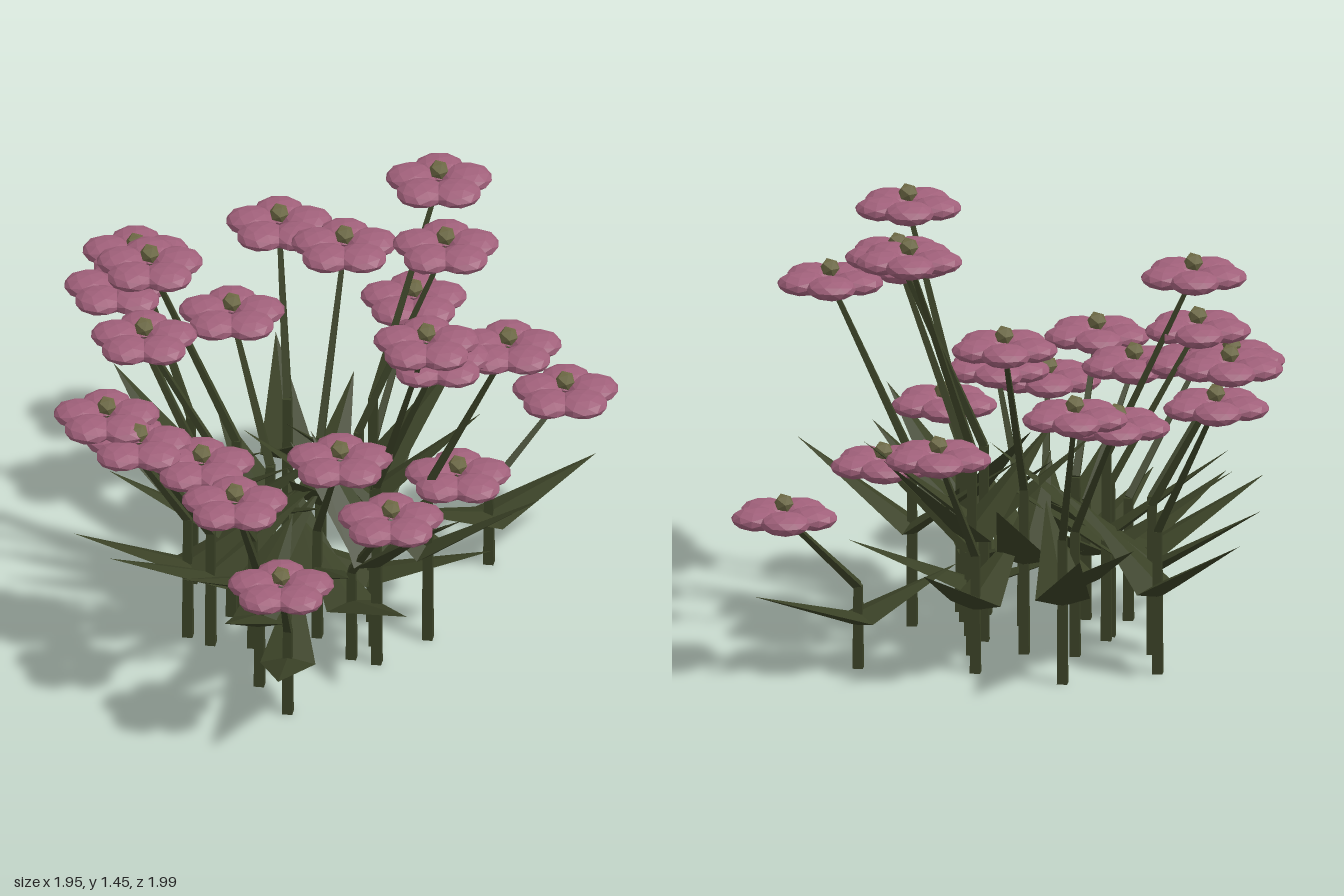
import * as THREE from 'three';

// Blossom positions: x, height, z
const BLOSSOMS = [
  [0.16, 0.55, -0.83], [-0.28, 0.79, -0.54], [-0.68, 0.97, -0.29], [-0.24, 1.10, -0.235],
  [0, 1.38, -0.44], [0.275, 1.31, -0.27], [0.44, 0.56, -0.2], [0.68, 1.13, -0.23],
  [0.65, 1.15, 0.03], [0.76, 1.30, 0.155], [0.48, 0.79, 0.3], [0.68, 0.64, 0.24],
  [0.8, 0.61, 0.765], [0.55, 0.81, 0.77], [0.24, 0.79, 0.68], [-0.47, 0.84, 0.05],
  [-0.81, 0.955, 0.19], [-0.585, 1.0, 0.425], [-0.3, 1.235, 0.5], [-0.22, 1.025, 0.58],
  [-0.1, 0.86, 0.815], [0.05, 0.82, 0.795],
];
const CENTRE = new THREE.Vector2(0.06, 0.14); // plants lean away from here
const LEAN = 0.285;

export function createModel() {
  const flat = (name, color) => {
    const m = new THREE.MeshStandardMaterial({ color, flatShading: true });
    m.name = name;
    return m;
  };
  const green = flat('leaf green', 0x3a4126);
  const pink = flat('petal pink', 0xa0607a);
  const olive = flat('flower centre olive', 0x6e6a45);

  const petalGeo = new THREE.IcosahedronGeometry(1, 1).scale(0.084, 0.037, 0.084);
  const centreGeo = new THREE.IcosahedronGeometry(0.033, 0);
  // Flattened four-sided blade of unit length pointing along +z
  const leafGeo = new THREE.ConeGeometry(1, 1, 4)
    .scale(0.09, 1, 0.022).rotateX(Math.PI / 2).translate(0, 0, 0.5);

  const add = (parent, name, geo, mat) => {
    const mesh = new THREE.Mesh(geo, mat);
    mesh.name = name;
    parent.add(mesh);
    return mesh;
  };

  // Tapered four-sided stem between two points
  const stem = (parent, name, a, b, r0, r1) => {
    const dir = b.clone().sub(a);
    const geo = new THREE.CylinderGeometry(r1, r0, dir.length(), 4);
    const mesh = add(parent, name, geo, green);
    mesh.position.copy(a).add(b).multiplyScalar(0.5);
    mesh.quaternion.setFromUnitVectors(new THREE.Vector3(0, 1, 0), dir.normalize());
  };

  const model = new THREE.Group();
  model.name = 'flowerClump';

  for (const [x, h, z] of BLOSSOMS) {
    const plant = new THREE.Group();
    plant.name = 'flowerPlant';
    model.add(plant);
    const out = new THREE.Vector2(x, z).sub(CENTRE).normalize();
    const bx = x - out.x * LEAN;
    const bz = z - out.y * LEAN;

    // Upright lower stem, then a thin leaning upper stem
    const foot = new THREE.Vector3(bx, 0, bz);
    const bend = new THREE.Vector3(bx, h * 0.5, bz);
    stem(plant, 'lowerStem', foot, bend, 0.024, 0.02);
    stem(plant, 'upperStem', bend, new THREE.Vector3(x, h, z), 0.018, 0.01);

    // Opposed pair of rising leaves
    const heading = Math.atan2(out.x, out.y);
    [['outerLeaf', 0, 0.4], ['innerLeaf', Math.PI, 0.38]].forEach(([name, turn, reach]) => {
      const rise = 0.24 * h;
      const leaf = add(plant, name, leafGeo, green);
      leaf.position.set(bx, 0.28 * h + 0.01, bz);
      leaf.rotation.set(-Math.atan2(rise, reach), heading + turn, 0, 'YXZ');
      leaf.scale.z = Math.hypot(rise, reach);
    });

    // Five plump petals around a small centre
    const blossom = new THREE.Group();
    blossom.name = 'blossom';
    blossom.position.set(x, h, z);
    plant.add(blossom);
    for (let i = 0; i < 5; i++) {
      const a = (i / 5) * Math.PI * 2;
      const petal = add(blossom, 'petal', petalGeo, pink);
      petal.position.set(Math.cos(a) * 0.095, 0, Math.sin(a) * 0.095);
      petal.rotation.y = -a;
    }
    add(blossom, 'flowerCentre', centreGeo, olive).position.y = 0.045;
  }
  return model;
}
